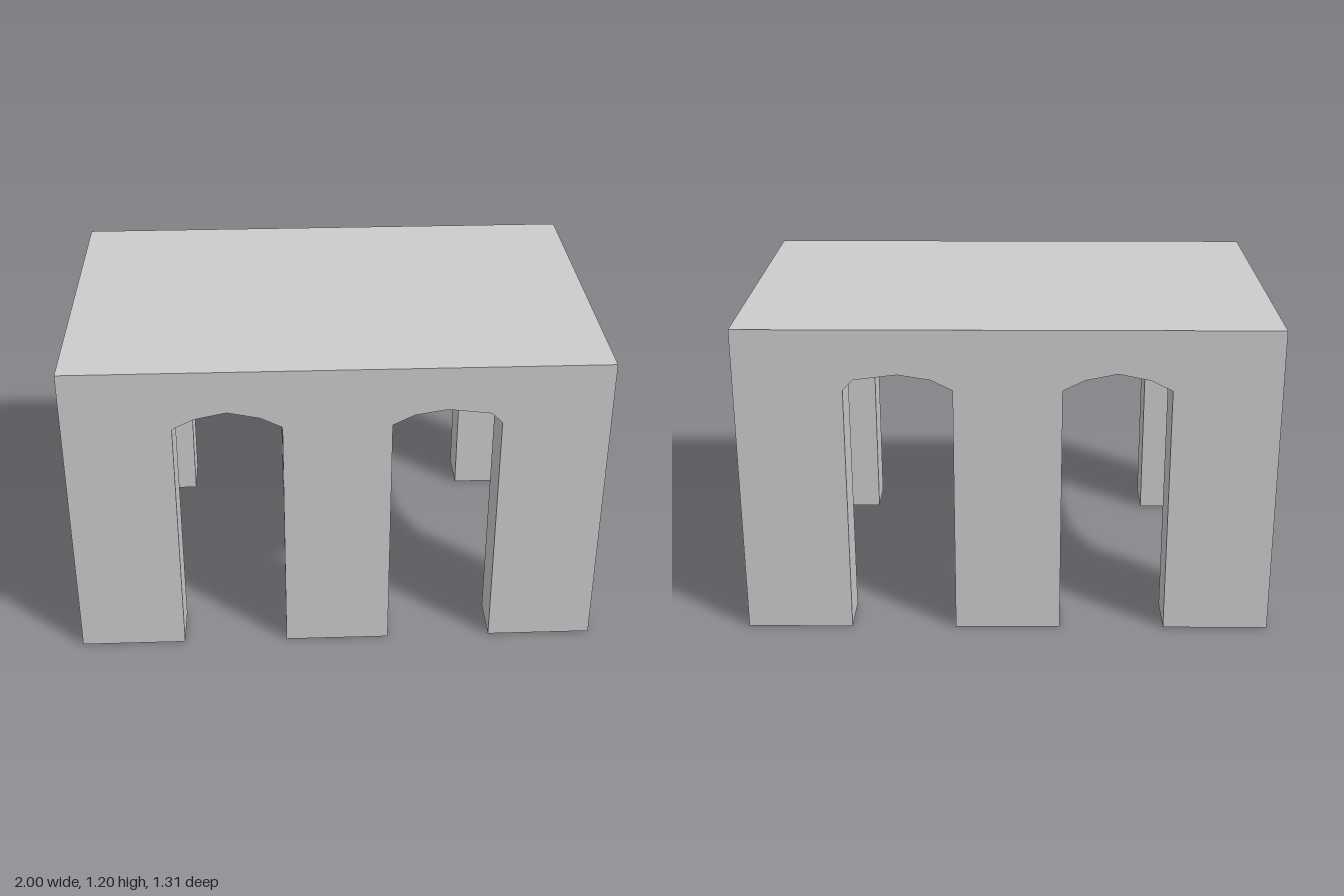
import * as THREE from 'three';
import { toCreasedNormals } from 'three/addons/utils/BufferGeometryUtils.js';

const H = 1.2, D = 0.655, IN = 0.47, SPRING = 0.97;

// [x, underside height at the side wall] along the length
const stations = [
  [-1, SPRING], [-0.6, SPRING], [-0.52, 1.01], [-0.4, 1.035], [-0.28, 1.01], [-0.2, SPRING],
  [0.2, SPRING], [0.28, 1.01], [0.4, 1.03], [0.56, 1.01], [0.6, SPRING], [1, SPRING],
];
const isPier = i => i === 0 || i === 5 || i === 10;

// the back corner of the +x end is cut higher than the rest
const springAt = (i, s) => (i === stations.length - 1 && s < 0 ? 1.075 : stations[i][1]);

// vault cross-section as [z, y], from +z to -z
function section(i) {
  const raised = springAt(i, -1) > 1.05;
  return [[IN, springAt(i, 1)], [0.355, 1.11], [0, 1.19],
    raised ? [-0.36, 1.1] : [-0.355, 1.11], [-IN, springAt(i, -1)]];
}

export function createModel() {
  const group = new THREE.Group();
  const material = new THREE.MeshStandardMaterial({ color: 0xcccccc });

  const addMesh = (name, geometry) => {
    const mesh = new THREE.Mesh(geometry, material);
    mesh.name = name;
    group.add(mesh);
  };
  const quad = (out, a, b, c, d, flip = false) => {
    if (flip) [a, b, c, d] = [d, c, b, a];
    out.push(...a, ...b, ...d, ...b, ...c, ...d);
  };
  const addFaces = (name, points, crease = 0.1) => {
    const g = new THREE.BufferGeometry();
    g.setAttribute('position', new THREE.Float32BufferAttribute(points, 3));
    g.computeVertexNormals();
    addMesh(name, toCreasedNormals(g, crease));
  };

  const vault = [], arches = [], piers = [], walls = [];
  for (let i = 0; i < stations.length - 1; i++) {
    const [x0, y0] = stations[i], [x1, y1] = stations[i + 1];

    // ceiling strips
    const p = section(i), q = section(i + 1);
    for (let j = 0; j < 4; j++) {
      quad(vault, [x0, p[j][1], p[j][0]], [x0, p[j + 1][1], p[j + 1][0]],
        [x1, q[j + 1][1], q[j + 1][0]], [x1, q[j][1], q[j][0]]);
    }

    for (const s of [1, -1]) {
      const f = s < 0, zo = s * D, zi = s * IN;
      // outer wall
      const b0 = isPier(i) ? 0 : y0, b1 = isPier(i) ? 0 : y1;
      quad(walls, [x0, b0, zo], [x1, b1, zo], [x1, H, zo], [x0, H, zo], f);
      if (isPier(i)) {
        // pier foot, inner face and the sides towards the openings
        quad(piers, [x0, 0, zo], [x0, 0, zi], [x1, 0, zi], [x1, 0, zo], f);
        quad(piers, [x1, 0, zi], [x0, 0, zi], [x0, springAt(i, s), zi], [x1, springAt(i + 1, s), zi], f);
        if (x0 > -1) quad(piers, [x0, 0, zi], [x0, 0, zo], [x0, y0, zo], [x0, y0, zi], f);
        if (x1 < 1) quad(piers, [x1, 0, zo], [x1, 0, zi], [x1, y1, zi], [x1, y1, zo], f);
      } else {
        // underside of the side arch
        quad(arches, [x0, y0, zo], [x0, y0, zi], [x1, y1, zi], [x1, y1, zo], f);
      }
    }
  }
  addFaces('vaultedCeiling', vault, 0.75);
  addFaces('sideArches', arches, 0.75);
  addFaces('piers', piers);
  addFaces('sideWalls', walls);

  // end walls with the large arched opening
  for (const s of [1, -1]) {
    const i = s > 0 ? stations.length - 1 : 0;
    const outline = [[D, 0], [D, H], [-D, H], [-D, 0], [-IN, 0], ...section(i).reverse(), [IN, 0]];
    const shape = new THREE.Shape(outline.map(([z, y]) => new THREE.Vector2(-s * z, y)));
    const g = new THREE.ShapeGeometry(shape);
    g.rotateY(s * Math.PI / 2);
    g.translate(s, 0, 0);
    addMesh(s > 0 ? 'leftEndWall' : 'rightEndWall', g);
  }

  // flat roof
  const roof = new THREE.PlaneGeometry(2, 2 * D);
  roof.rotateX(-Math.PI / 2);
  roof.translate(0, H, 0);
  addMesh('roof', roof);

  return group;
}
